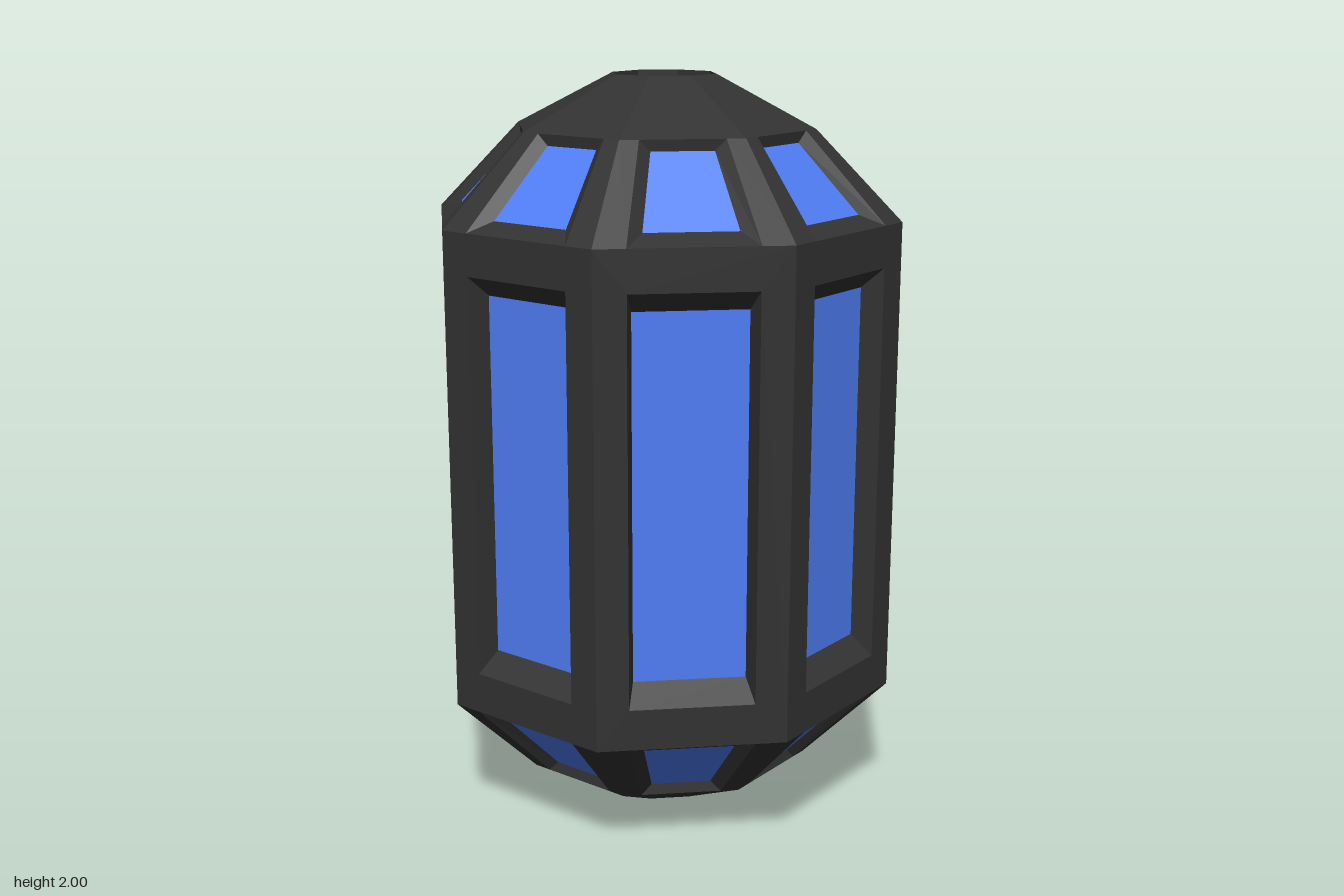
import * as THREE from 'three';

const SIDES = 8;
const TAN = Math.tan(Math.PI / SIDES);

// An edge is a horizontal line on one side of the octagon: distance from the axis, height, half width.
const edge = (r, y, h = r * TAN) => ({ r, y, h });
const flipEdge = (e) => edge(e.r, 2 - e.y, e.h);
const flipPair = ([bottom, top]) => [flipEdge(top), flipEdge(bottom)];

// Four corners, counterclockwise from outside, between a lower and an upper edge.
function corners([bottom, top], angle) {
  const s = Math.sin(angle), c = Math.cos(angle);
  const at = (e, side) => new THREE.Vector3(e.r * s + side * e.h * c, e.y, e.r * c - side * e.h * s);
  return [at(bottom, -1), at(bottom, 1), at(top, 1), at(top, -1)];
}

function addTriangle(out, a, b, c) {
  const area = b.clone().sub(a).cross(c.clone().sub(a)).length();
  if (area > 1e-6) for (const p of [a, b, c]) out.push(p.x, p.y, p.z);
}

function addQuad(out, a, b, c, d) {
  addTriangle(out, a, b, c);
  addTriangle(out, a, c, d);
}

// Band of quads joining an outer outline to one inside it.
function addBorder(out, outer, inner) {
  for (let i = 0; i < 4; i++) {
    const j = (i + 1) % 4;
    addQuad(out, outer[i], outer[j], inner[j], inner[i]);
  }
}

function makeMesh(name, points, color) {
  const geometry = new THREE.BufferGeometry();
  geometry.setAttribute('position', new THREE.Float32BufferAttribute(points, 3));
  geometry.computeVertexNormals();
  const mesh = new THREE.Mesh(geometry, new THREE.MeshStandardMaterial({ color, flatShading: true }));
  mesh.name = name;
  return mesh;
}

export function createModel() {
  const dark = 0x323232, blue = 0x4f7df5;
  const group = new THREE.Group();
  group.name = 'lantern';

  // Each bay: whole facet, window opening, recessed pane
  const wall = {
    facet: [edge(0.585, 0.365), edge(0.585, 1.635)],
    opening: [edge(0.585, 0.473, 0.16), edge(0.585, 1.527, 0.16)],
    pane: [edge(0.527, 0.526, 0.144), edge(0.527, 1.474, 0.144)],
  };
  const shoulder = {
    facet: [edge(0.585, 1.635), edge(0.374, 1.865)],
    opening: [edge(0.585, 1.635, 0.161), edge(0.374, 1.865, 0.107)],
    pane: [edge(0.53, 1.663, 0.117), edge(0.37, 1.836, 0.079)],
  };
  const base = {
    facet: flipPair(shoulder.facet),
    opening: flipPair(shoulder.opening),
    pane: flipPair(shoulder.pane),
  };

  for (const [label, bay] of Object.entries({ wall, shoulder, base })) {
    const frame = [], panes = [];
    for (let i = 0; i < SIDES; i++) {
      const angle = ((i + 0.5) / SIDES) * Math.PI * 2;
      const opening = corners(bay.opening, angle);
      const pane = corners(bay.pane, angle);
      addBorder(frame, corners(bay.facet, angle), opening);
      addBorder(frame, opening, pane);
      addQuad(panes, ...pane);
    }
    group.add(makeMesh(label + 'Frame', frame, dark), makeMesh(label + 'Panes', panes, blue));
  }

  // End caps: slope, shallow recess wall, recess floor
  const capEdges = [edge(0.374, 1.865), edge(0.129, 2), edge(0.129, 1.965), edge(0, 1.965)];
  for (const label of ['topCap', 'bottomCap']) {
    const points = [];
    for (let i = 0; i < SIDES; i++) {
      const angle = ((i + 0.5) / SIDES) * Math.PI * 2;
      for (let k = 0; k < capEdges.length - 1; k++) {
        const pair = [capEdges[k], capEdges[k + 1]];
        addQuad(points, ...corners(label === 'topCap' ? pair : flipPair(pair), angle));
      }
    }
    group.add(makeMesh(label, points, dark));
  }

  return group;
}
